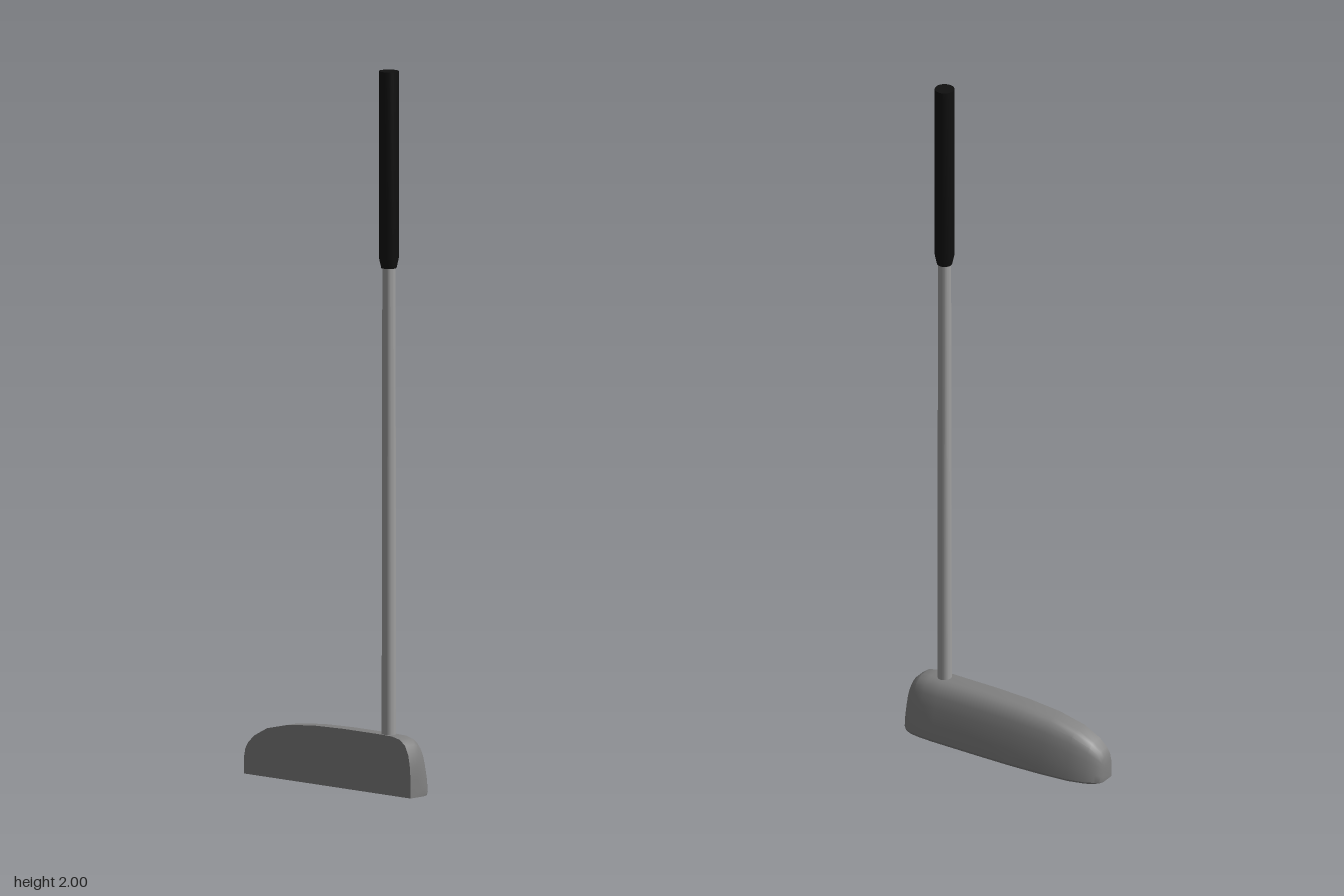
import * as THREE from 'three';
import { toCreasedNormals } from 'three/addons/utils/BufferGeometryUtils.js';

const FACE_X = -0.053;      // flat striking face
const SHAFT_X = -0.029, SHAFT_Z = 0.21;

// Unit cross-section of the head: u runs back from the face, v runs up
const PROFILE = [[0, 0], [0.96, 0], [1, 0.05], [0.96, 0.3], [0.86, 0.6], [0.77, 0.79], [0.67, 0.91], [0.52, 0.98], [0.38, 1], [0, 1]];

// Stations from toe to heel: z, height, rearmost x
const STATIONS = [
  [-0.317, 0.05, -0.012], [-0.313, 0.07, 0], [-0.303, 0.087, 0.011], [-0.28, 0.109, 0.025],
  [-0.23, 0.135, 0.039], [-0.15, 0.153, 0.047], [-0.05, 0.162, 0.052], [0.06, 0.165, 0.053],
  [0.2, 0.165, 0.053], [0.245, 0.164, 0.051], [0.275, 0.158, 0.046], [0.295, 0.143, 0.036],
  [0.307, 0.118, 0.022], [0.313, 0.085, 0.005], [0.315, 0.055, -0.01],
];

function headGeometry() {
  const n = PROFILE.length, pos = [], idx = [];
  for (const [z, h, x] of STATIONS)
    for (const [u, v] of PROFILE) pos.push(FACE_X + u * (x - FACE_X), v * h, z);
  const last = (STATIONS.length - 1) * n;
  for (let r = 0; r < last; r += n)
    for (let j = 0; j < n; j++) {
      const k = (j + 1) % n;
      idx.push(r + j, r + k, r + n + k, r + j, r + n + k, r + n + j);
    }
  // end caps
  for (let j = 1; j < n - 1; j++) idx.push(0, j + 1, j, last, last + j, last + j + 1);
  const geo = new THREE.BufferGeometry();
  geo.setAttribute('position', new THREE.Float32BufferAttribute(pos, 3));
  geo.setIndex(idx);
  return toCreasedNormals(geo, 0.5);
}

// Turned part on the shaft axis, from [radius, y] points
function turned(name, points, color) {
  const geo = new THREE.LatheGeometry(points.map(([r, y]) => new THREE.Vector2(r, y)), 24);
  const mesh = new THREE.Mesh(toCreasedNormals(geo, 0.5), new THREE.MeshStandardMaterial({ color }));
  mesh.name = name;
  mesh.position.set(SHAFT_X, 0, SHAFT_Z);
  return mesh;
}

export function createModel() {
  const group = new THREE.Group();
  group.name = 'putter';

  const head = new THREE.Mesh(headGeometry(), new THREE.MeshStandardMaterial({ color: 0x808080 }));
  head.name = 'head';
  group.add(head);

  // slightly tapered shaft, seated in the head
  group.add(turned('shaft', [[0, 0.1], [0.02, 0.1], [0.018, 1.5], [0, 1.5]], 0xa0a0a0));

  // grip with a tapered lower end
  group.add(turned('grip', [[0, 1.455], [0.021, 1.455], [0.027, 1.482], [0.027, 2], [0, 2]], 0x101010));
  return group;
}
